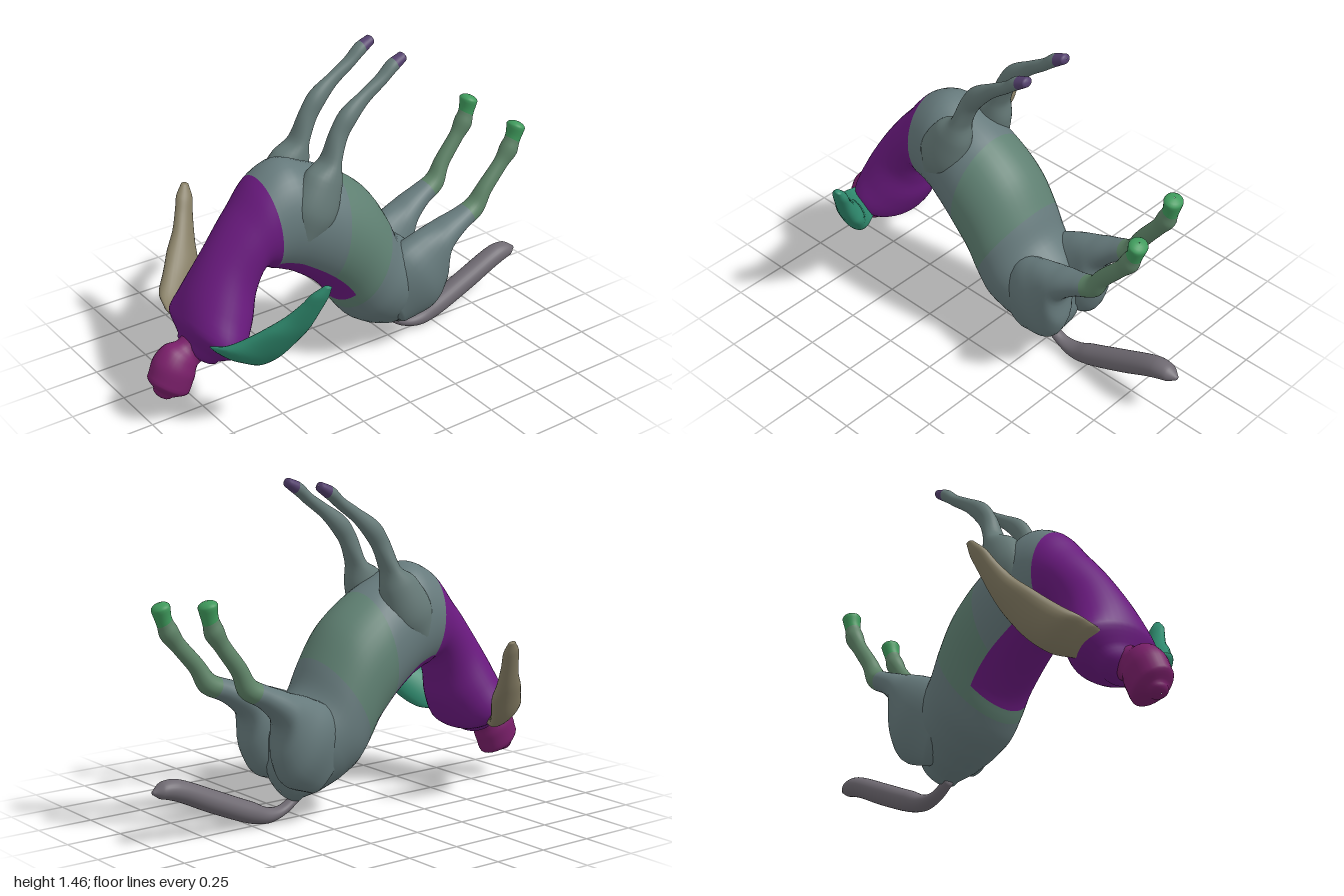
import * as THREE from 'three';

const V = (x, y, z) => new THREE.Vector3(x, y, z);

// Smooth skin through oval sections [ax, ay, bx, by, halfWidth, z]; a and b are opposite edges in the xy plane.
// from/to pick a stretch of the sections, arc limits the angle, side mirrors in z.
function loft(name, color, sections, { side = 1, from = 0, to = sections.length - 1, arc, grow = 1, segs = 28 } = {}) {
  const last = sections.length - 1;
  const centres = new THREE.CatmullRomCurve3(sections.map(([ax, ay, bx, by, , z = 0]) => V((ax + bx) / 2, (ay + by) / 2, z * side)));
  const halves = new THREE.CatmullRomCurve3(sections.map(([ax, ay, bx, by, w]) => V((ax - bx) / 2, (ay - by) / 2, w)));
  const rings = [];
  const steps = Math.max(2, Math.round((to - from) * 5));
  for (let i = 0; i <= steps; i++) {
    const t = (from + (to - from) * i / steps) / last;
    rings.push({ c: centres.getPoint(t), h: halves.getPoint(t) });
  }
  // Rounded ends
  const dome = (ring, t, sign) => {
    const dir = centres.getTangent(t).multiplyScalar(sign);
    const depth = 0.55 * Math.min(Math.hypot(ring.h.x, ring.h.y), ring.h.z);
    return [0.35, 0.7, 0.9, 0.999].map(s => ({
      c: ring.c.clone().addScaledVector(dir, depth * s),
      h: ring.h.clone().multiplyScalar(Math.sqrt(1 - s * s)),
    }));
  };
  if (!arc) {
    const first = rings[0], end = rings[rings.length - 1];
    if (to === last) rings.push(...dome(end, 1, 1));
    if (from === 0) rings.unshift(...dome(first, 0, -1).reverse());
  }
  const [t0, t1] = arc || [0, Math.PI * 2];
  const cols = arc ? segs + 1 : segs;
  const pos = [], idx = [];
  for (const { c, h } of rings) {
    for (let j = 0; j < cols; j++) {
      const a = t0 + (t1 - t0) * j / segs, k = Math.cos(a) * grow;
      pos.push(c.x + h.x * k, c.y + h.y * k, c.z + h.z * Math.sin(a) * grow);
    }
  }
  for (let i = 0; i < rings.length - 1; i++) {
    for (let j = 0; j < segs; j++) {
      const p = i * cols + j, q = i * cols + (j + 1) % cols;
      idx.push(p, q, p + cols, q, q + cols, p + cols);
    }
  }
  const geo = new THREE.BufferGeometry();
  geo.setAttribute('position', new THREE.Float32BufferAttribute(pos, 3));
  geo.setIndex(idx);
  geo.computeVertexNormals();
  const mesh = new THREE.Mesh(geo, new THREE.MeshStandardMaterial({ color, side: arc ? THREE.DoubleSide : THREE.FrontSide }));
  mesh.name = name;
  return mesh;
}

// Human torso running into the horse trunk
const TRUNK = [
  [-0.82, 0.37, -0.70, 0.26, 0.13],
  [-0.835, 0.47, -0.60, 0.295, 0.23],
  [-0.79, 0.58, -0.53, 0.41, 0.19],
  [-0.69, 0.74, -0.50, 0.52, 0.15],
  [-0.56, 0.90, -0.46, 0.62, 0.155],
  [-0.45, 1.03, -0.41, 0.60, 0.175],
  [-0.33, 1.08, -0.34, 0.57, 0.19],
  [-0.20, 1.03, -0.25, 0.515, 0.205],
  [-0.07, 0.965, -0.17, 0.45, 0.22],
  [0.08, 0.85, -0.10, 0.37, 0.225],
  [0.18, 0.70, -0.05, 0.285, 0.225],
  [0.24, 0.58, 0.01, 0.21, 0.22],
  [0.33, 0.50, 0.09, 0.155, 0.20],
  [0.39, 0.40, 0.18, 0.115, 0.16],
  [0.39, 0.28, 0.26, 0.095, 0.10],
];
const HEAD = [
  [-0.975, 0.18, -0.91, 0.13, 0.05],
  [-1.0, 0.24, -0.83, 0.125, 0.085],
  [-0.97, 0.31, -0.80, 0.19, 0.09],
  [-0.91, 0.365, -0.785, 0.235, 0.075],
  [-0.85, 0.37, -0.765, 0.25, 0.06],
  [-0.80, 0.40, -0.70, 0.29, 0.07],
];
const ARM = [
  [-0.80, 0.42, -0.68, 0.32, 0.06, 0.19],
  [-0.78, 0.45, -0.63, 0.33, 0.065, 0.27],
  [-0.72, 0.50, -0.58, 0.38, 0.06, 0.335],
  [-0.66, 0.56, -0.52, 0.48, 0.055, 0.40],
  [-0.60, 0.62, -0.50, 0.55, 0.045, 0.45],
  [-0.555, 0.69, -0.475, 0.65, 0.035, 0.50],
  [-0.53, 0.74, -0.455, 0.72, 0.03, 0.53],
  [-0.49, 0.78, -0.455, 0.77, 0.015, 0.555],
];
const FORELEG = [
  [-0.37, 0.80, -0.24, 0.73, 0.06, 0.13],
  [-0.35, 0.93, -0.15, 0.82, 0.09, 0.13],
  [-0.27, 1.04, -0.11, 0.97, 0.075, 0.125],
  [-0.19, 1.09, -0.11, 1.07, 0.055, 0.12],
  [-0.145, 1.20, -0.07, 1.16, 0.038, 0.115],
  [-0.09, 1.28, -0.035, 1.21, 0.038, 0.115],
  [0.02, 1.35, 0.04, 1.29, 0.026, 0.115],
  [0.10, 1.40, 0.12, 1.35, 0.03, 0.115],
  [0.15, 1.445, 0.17, 1.39, 0.032, 0.115],
  [0.21, 1.47, 0.225, 1.43, 0.027, 0.115],
];
const HINDLEG = [
  [0.10, 0.42, 0.25, 0.15, 0.06, 0.12],
  [0.20, 0.53, 0.40, 0.20, 0.11, 0.12],
  [0.31, 0.575, 0.46, 0.31, 0.10, 0.125],
  [0.42, 0.60, 0.46, 0.45, 0.085, 0.13],
  [0.53, 0.635, 0.55, 0.535, 0.06, 0.135],
  [0.60, 0.665, 0.655, 0.59, 0.048, 0.135],
  [0.65, 0.73, 0.705, 0.68, 0.036, 0.14],
  [0.74, 0.83, 0.79, 0.78, 0.032, 0.14],
  [0.775, 0.89, 0.845, 0.84, 0.042, 0.14],
  [0.80, 0.93, 0.86, 0.89, 0.036, 0.14],
  [0.81, 0.985, 0.885, 0.955, 0.046, 0.14],
];
const TAIL = [
  [0.27, 0.12, 0.26, 0.08, 0.025],
  [0.35, 0.075, 0.33, 0.035, 0.03],
  [0.42, 0.08, 0.42, 0.01, 0.042],
  [0.50, 0.12, 0.53, 0.03, 0.05],
  [0.68, 0.20, 0.72, 0.11, 0.052],
  [0.87, 0.28, 0.89, 0.19, 0.05],
  [0.94, 0.28, 0.955, 0.21, 0.04],
  [0.985, 0.25, 0.985, 0.23, 0.012],
];

export function createModel() {
  const model = new THREE.Group();
  model.name = 'centaur';
  model.add(
    loft('head', 0x7a1f6a, HEAD),
    loft('torso', 0x6b1a80, TRUNK, { from: 0, to: 5, segs: 40 }),
    loft('chest', 0x667a7c, TRUNK, { from: 5, to: 8, segs: 40 }),
    loft('barrel', 0x5f8072, TRUNK, { from: 8, to: 10, segs: 40 }),
    loft('rump', 0x667a7c, TRUNK, { from: 10, segs: 40 }),
    // Coloured strip along the spine
    loft('spine', 0x6b1a80, TRUNK, { from: 5, to: 9.4, arc: [Math.PI - 0.8, Math.PI + 0.8], grow: 1.004 }),
    loft('tail', 0x6f6a72, TAIL),
  );

  for (const side of [1, -1]) {
    const label = side > 0 ? 'left' : 'right';
    // Arms, one colour per side
    model.add(loft(label + 'Arm', side > 0 ? 0x2f8a6e : 0x857d64, ARM, { side }));

    // Forelegs with hooves
    model.add(
      loft(label + 'Foreleg', 0x667a78, FORELEG, { side, to: 8.3 }),
      loft(label + 'ForeHoof', 0x54406e, FORELEG, { side, from: 8.3 }),
    );

    // Hind legs with hooves, the right one swung slightly higher
    const hind = new THREE.Group();
    hind.name = label + 'HindLeg';
    const hip = V(0.35, 0.42, 0);
    const parts = new THREE.Group();
    parts.position.copy(hip).negate();
    parts.add(
      loft(label + 'Thigh', 0x667a7c, HINDLEG, { side, to: 4.5 }),
      loft(label + 'Shank', 0x5f8468, HINDLEG, { side, from: 4.5, to: 9 }),
      loft(label + 'HindHoof', 0x3f9a5c, HINDLEG, { side, from: 9 }),
    );
    hind.position.copy(hip);
    hind.rotation.z = side > 0 ? 0 : 0.085;
    hind.add(parts);
    model.add(hind);
  }
  return model;
}
